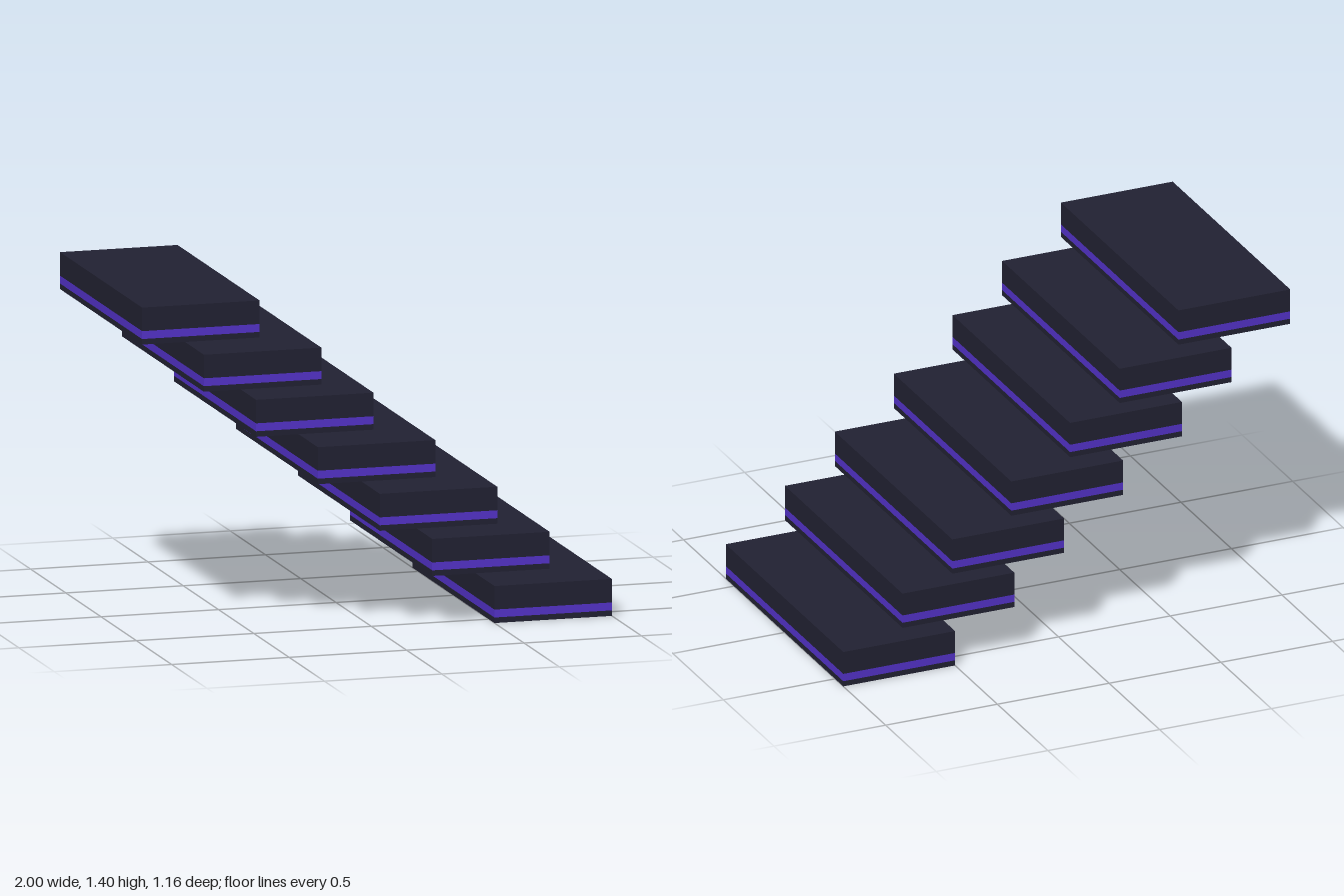
import * as THREE from 'three';

const WIDTH = 0.5, DEPTH = 1.163;

export function createModel() {
  const slate = new THREE.MeshStandardMaterial({ color: 0x222233 });
  slate.name = 'dark slate';
  const violet = new THREE.MeshStandardMaterial({ color: 0x5533cc });
  violet.name = 'violet';

  // Flush layers of every step: name, bottom, top, material
  const layers = [
    ['base', 0, 0.023, slate],
    ['glowBand', 0.023, 0.056, violet],
    ['tread', 0.056, 0.154, slate],
  ];

  // Centre x and underside y of each floating step, lowest first
  const places = [
    [0.75, 0], [0.485, 0.212], [0.262, 0.413], [-0.002, 0.623],
    [-0.265, 0.836], [-0.487, 1.037], [-0.75, 1.249],
  ];

  const stairs = new THREE.Group();
  stairs.name = 'floatingStairs';
  places.forEach(([x, y], i) => {
    const step = new THREE.Group();
    step.name = `step${i + 1}`;
    step.position.set(x, y, 0);
    for (const [name, bottom, top, material] of layers) {
      const mesh = new THREE.Mesh(new THREE.BoxGeometry(WIDTH, top - bottom, DEPTH), material);
      mesh.name = name;
      mesh.position.y = (bottom + top) / 2;
      step.add(mesh);
    }
    stairs.add(step);
  });
  return stairs;
}
